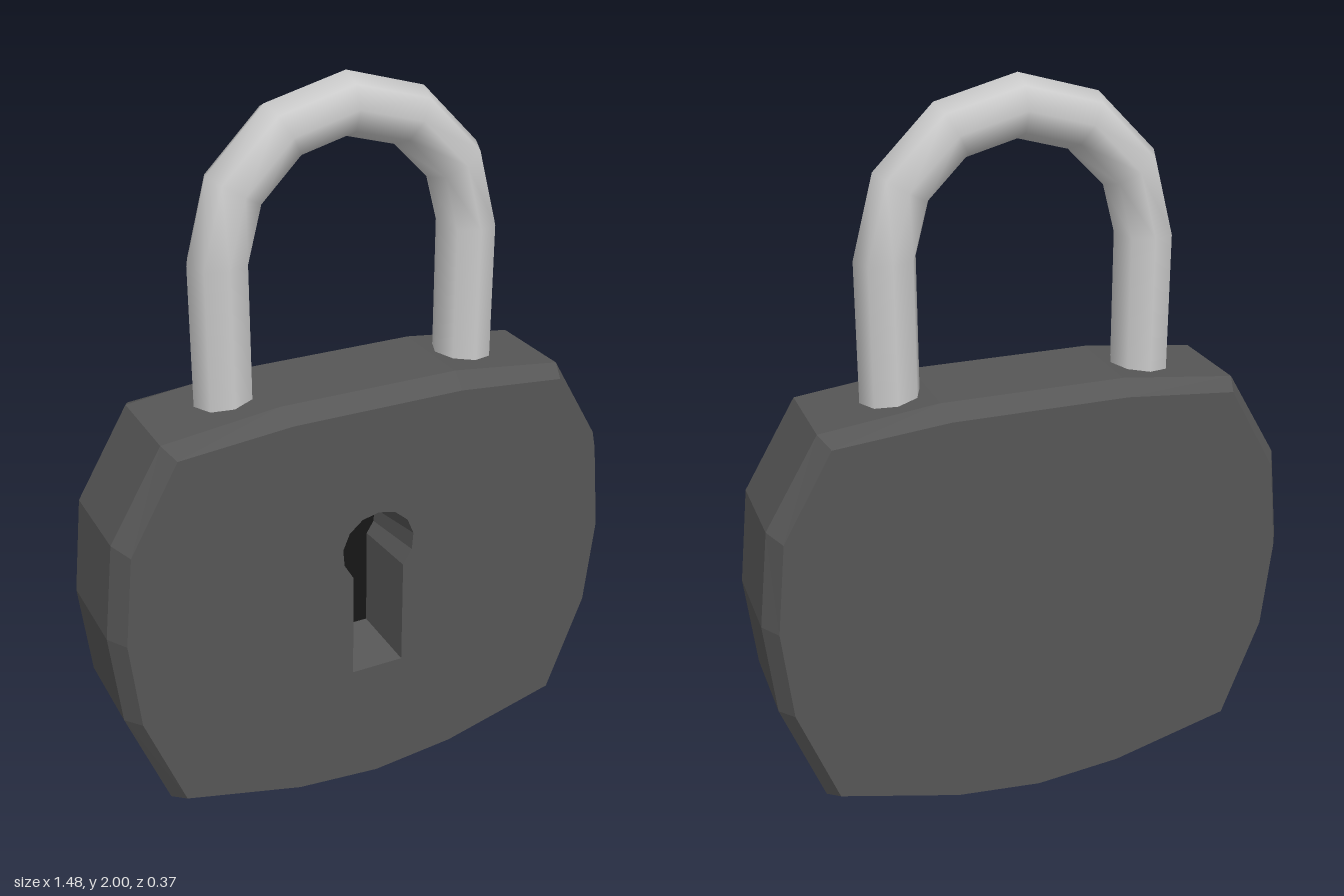
import * as THREE from 'three';

const bodyMat = new THREE.MeshStandardMaterial({ color: 0x565656, flatShading: true });
const holeMat = new THREE.MeshStandardMaterial({ color: 0x161616, flatShading: true });
const steelMat = new THREE.MeshStandardMaterial({ color: 0xcccccc });

const HALF = 0.187;      // half thickness of the body
const RIM = 0.13;        // where the bevel starts
const HOLE_FLOOR = 0.0;  // z of the keyhole floor

// Mirror a right-hand half outline (bottom to top) into a full counter-clockwise loop
const mirrorLoop = (half) => [
  ...half,
  ...half.filter(([x]) => x > 0).reverse().map(([x, y]) => [-x, y]),
];

// Join two loops of equal length, front at z0 and back at z1
function band(front, back, z0, z1) {
  const pos = [];
  front.forEach((_, i) => {
    const j = (i + 1) % front.length;
    const a = [...front[i], z0], b = [...front[j], z0];
    const c = [...back[i], z1], d = [...back[j], z1];
    pos.push(...a, ...c, ...b, ...b, ...c, ...d);
  });
  const g = new THREE.BufferGeometry();
  g.setAttribute('position', new THREE.Float32BufferAttribute(pos, 3));
  g.computeVertexNormals();
  return g;
}

const toPoints = (loop) => loop.map(([x, y]) => new THREE.Vector2(x, y));

// Keyhole outline: round top over a straight slot, counter-clockwise
function keyholeLoop(cy, r, bottom) {
  const arc = [];
  for (let i = 0; i <= 10; i++) {
    const a = -Math.PI / 4 + (i / 10) * Math.PI * 1.5;
    arc.push([r * Math.cos(a), cy + r * Math.sin(a)]);
  }
  const w = r * Math.SQRT1_2;
  return [[-w, bottom], [w, bottom], ...arc];
}

export function createModel() {
  const model = new THREE.Group();
  const add = (parent, name, geometry, material) => {
    const mesh = new THREE.Mesh(geometry, material);
    mesh.name = name;
    parent.add(mesh);
    return mesh;
  };

  // Body outlines: the widest rim and the inset face
  const rim = mirrorLoop([[0, 0.005], [0.25, 0.03], [0.6, 0.125], [0.713, 0.42], [0.74, 0.68],
    [0.71, 0.945], [0.567, 1.187], [0.25, 1.225], [0, 1.225]]);
  const face = mirrorLoop([[0, 0.042], [0.24, 0.065], [0.573, 0.15], [0.68, 0.43], [0.705, 0.68],
    [0.678, 0.93], [0.545, 1.165], [0.24, 1.193], [0, 1.193]]);
  const holeOuter = keyholeLoop(0.785, 0.106, 0.405);
  const holeInner = keyholeLoop(0.775, 0.085, 0.43);

  const body = new THREE.Group();
  body.name = 'body';
  model.add(body);
  add(body, 'frontBevel', band(face, rim, HALF, RIM), bodyMat);
  add(body, 'sideWall', band(rim, rim, RIM, -RIM), bodyMat);
  add(body, 'backBevel', band(rim, face, -RIM, -HALF), bodyMat);

  // Front face pierced by the keyhole, plain back face
  const frontShape = new THREE.Shape(toPoints(face));
  frontShape.holes.push(new THREE.Path(toPoints(holeOuter)));
  add(body, 'frontFace', new THREE.ShapeGeometry(frontShape), bodyMat).position.z = HALF;
  const back = add(body, 'backFace', new THREE.ShapeGeometry(new THREE.Shape(toPoints(face))), bodyMat);
  back.rotation.y = Math.PI;
  back.position.z = -HALF;

  // Tapered keyhole recess with a dark floor
  const keyhole = new THREE.Group();
  keyhole.name = 'keyhole';
  model.add(keyhole);
  add(keyhole, 'keyholeWall',
    band([...holeOuter].reverse(), [...holeInner].reverse(), HALF, HOLE_FLOOR), bodyMat);
  add(keyhole, 'keyholeFloor',
    new THREE.ShapeGeometry(new THREE.Shape(toPoints(holeInner))), holeMat).position.z = HOLE_FLOOR;

  // Shackle: half-ring arch on two straight legs
  const shackle = new THREE.Group();
  shackle.name = 'shackle';
  shackle.position.z = -0.008;
  model.add(shackle);
  const R = 0.3475, r = 0.08, springY = 1.575, legBottom = 1.17;
  add(shackle, 'shackleArch', new THREE.TorusGeometry(R, r, 8, 6, Math.PI), steelMat).position.y = springY;
  for (const [name, side] of [['leftLeg', 1], ['rightLeg', -1]]) {
    const leg = add(shackle, name,
      new THREE.CylinderGeometry(r, r, springY - legBottom, 8, 1, true), steelMat);
    leg.position.set(side * R, (springY + legBottom) / 2, 0);
  }
  return model;
}
